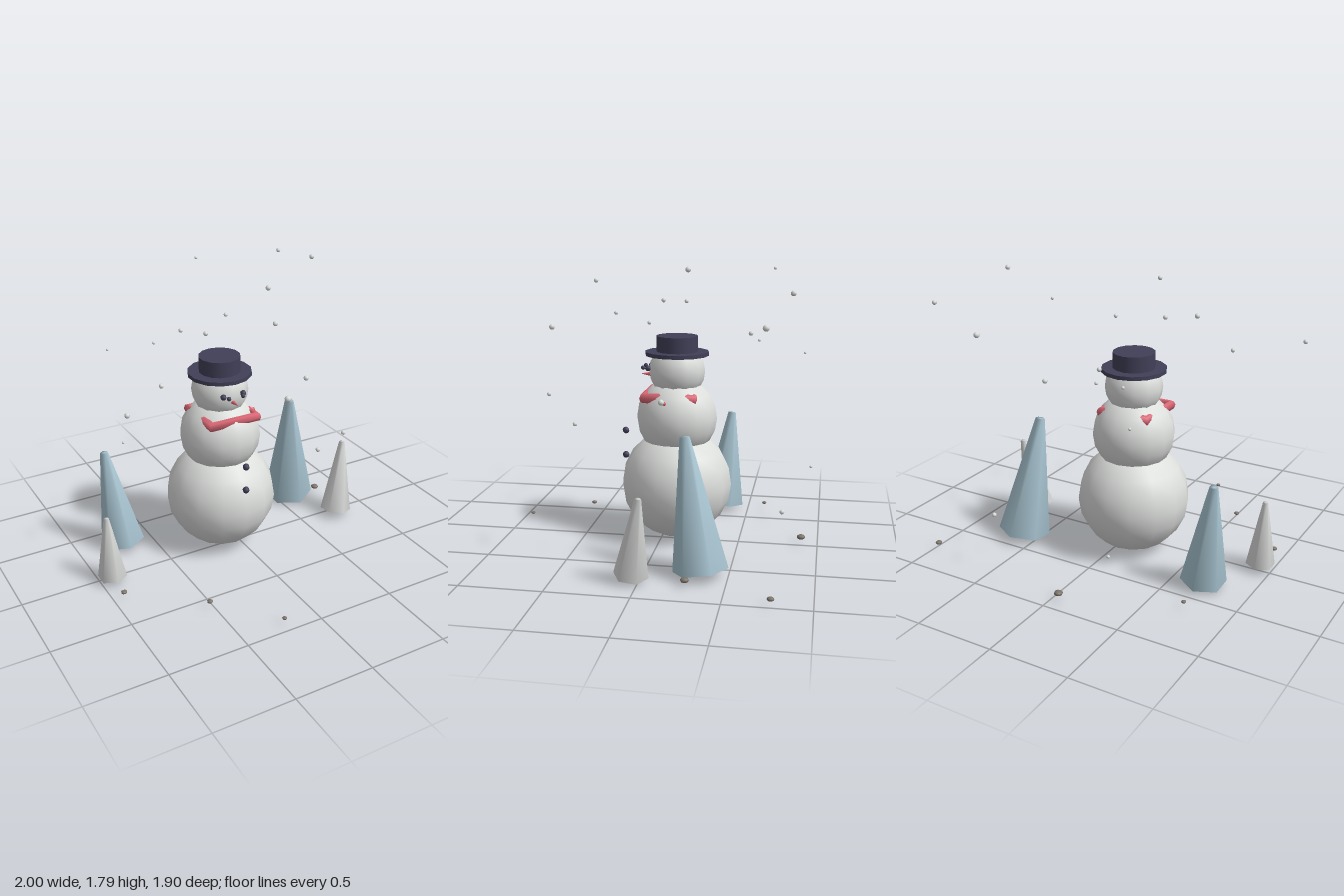
import * as THREE from 'three';
import { mergeVertices } from 'three/addons/utils/BufferGeometryUtils.js';

const flat = (name, color) => {
  const m = new THREE.MeshStandardMaterial({ color });
  m.name = name;
  return m;
};

export function createModel() {
  const model = new THREE.Group();
  model.name = 'snowmanScene';

  const snow = flat('snow', 0xdcdedc);
  const ice = flat('iceBlue', 0xadcad7);
  const dark = flat('charcoal', 0x413f57);
  const red = flat('scarfRed', 0xdc6875);
  const stone = flat('stone', 0x7c746a);

  const add = (parent, name, geometry, material, x, y, z) => {
    const mesh = new THREE.Mesh(geometry, material);
    mesh.name = name;
    mesh.position.set(x, y, z);
    parent.add(mesh);
    return mesh;
  };

  // Snowman: local origin is the vertical axis through the three balls
  const snowman = new THREE.Group();
  snowman.name = 'snowman';
  snowman.position.set(-0.085, 0, -0.085);
  model.add(snowman);

  const ball = (name, r, y, segments) => {
    const geometry = new THREE.SphereGeometry(r, segments, 10).rotateY(Math.PI / 2);
    add(snowman, name, geometry, snow, 0, y, 0);
  };
  ball('body', 0.355, 0.357, 14);
  ball('chest', 0.259, 0.79, 14);
  ball('head', 0.18, 1.09, 12);

  // Hat
  add(snowman, 'hatBrim', new THREE.CylinderGeometry(0.203, 0.203, 0.024, 14), dark, 0, 1.202, 0);
  add(snowman, 'hatCrown', new THREE.CylinderGeometry(0.132, 0.132, 0.11, 14), dark, 0, 1.258, 0);

  // Eyes: a coal with a smaller one in front
  for (const side of [-1, 1]) {
    add(snowman, 'eye', new THREE.SphereGeometry(0.019, 8, 6), dark, side * 0.069, 1.11, 0.175);
    add(snowman, 'pupil', new THREE.SphereGeometry(0.014, 8, 6), dark, side * 0.049, 1.11, 0.21);
  }

  // Nose
  const nose = new THREE.ConeGeometry(0.014, 0.065, 8).rotateX(Math.PI / 2);
  add(snowman, 'nose', nose, red, 0, 1.063, 0.203);

  // Scarf: a four-cornered ring whose corners stick out of the chest
  const scarf = new THREE.TorusGeometry(0.223, 0.032, 8, 4)
    .rotateX(Math.PI / 2).rotateY(Math.PI / 4);
  add(snowman, 'scarf', scarf, red, 0, 0.935, 0.03);
  add(snowman, 'scarfBead', new THREE.SphereGeometry(0.013, 8, 6), red, 0.217, 0.915, 0.045);

  // Buttons
  for (const y of [0.687, 0.524]) {
    add(snowman, 'button', new THREE.SphereGeometry(0.022, 8, 6), dark, 0, y, 0.335);
  }

  // Leaning six-sided trees: base centre to tip centre
  const up = new THREE.Vector3(0, 1, 0);
  const tree = (name, material, base, tip, rBase, rTip) => {
    const a = new THREE.Vector3(...base);
    const axis = new THREE.Vector3(...tip).sub(a);
    const height = axis.length();
    let geometry = new THREE.CylinderGeometry(rTip, rBase, height, 6).translate(0, height / 2, 0);
    geometry.deleteAttribute('normal');
    geometry.deleteAttribute('uv');
    geometry = mergeVertices(geometry);
    geometry.computeVertexNormals();
    const mesh = add(model, name, geometry, material, ...base);
    mesh.quaternion.setFromUnitVectors(up, axis.normalize());
  };
  tree('blueTreeRight', ice, [-0.7, 0.036, -0.32], [-0.773, 0.682, -0.37], 0.142, 0.026);
  tree('blueTreeLeft', ice, [0.607, 0.035, -0.337], [0.527, 0.81, -0.228], 0.167, 0.03);
  tree('whiteTreeRight', snow, [-0.922, 0.035, 0.032], [-0.937, 0.456, 0.03], 0.091, 0.016);
  tree('whiteTreeLeft', snow, [0.759, 0.036, 0.045], [0.829, 0.518, -0.013], 0.104, 0.019);

  // Falling snowflakes: x, y, z, radius
  const flakes = [
    [0.7, 1.78, -0.27, 0.016], [0.8, 1.67, -0.84, 0.015], [0.63, 1.463, -0.69, 0.019],
    [0.007, 1.66, 0.413, 0.015], [0, 1.54, -0.157, 0.013], [0.078, 1.753, -0.7, 0.01],
    [-0.237, 1.52, 0.028, 0.015], [-0.107, 1.348, 0.74, 0.019], [-0.122, 1.333, -0.547, 0.015],
    [-0.3, 1.266, -0.587, 0.01], [-0.958, 1.35, 0.507, 0.015], [-0.613, 1.326, 0.195, 0.014],
    [-0.51, 1.16, -0.876, 0.009], [0.137, 0.954, 0.695, 0.014], [0.573, 1.016, -0.098, 0.018],
    [0.51, 0.856, 0.428, 0.014], [0.486, 0.376, -0.795, 0.014], [-0.41, 0.408, -0.94, 0.01],
  ];
  for (const [x, y, z, r] of flakes) {
    add(model, 'snowflake', new THREE.SphereGeometry(r, 8, 6), snow, x, y, z);
  }

  // Flattened pebbles on the ground: x, z, radius
  const pebbles = [
    [-0.04, -0.897, 0.027], [0.975, -0.768, 0.021], [-0.718, -0.615, 0.015],
    [0.795, -0.272, 0.026], [-0.932, 0.238, 0.019], [-0.521, 0.578, 0.018],
    [-0.217, 0.935, 0.015],
  ];
  for (const [x, z, r] of pebbles) {
    add(model, 'pebble', new THREE.SphereGeometry(r, 8, 6), stone, x, 0.044, z).scale.y = 0.6;
  }

  return model;
}
